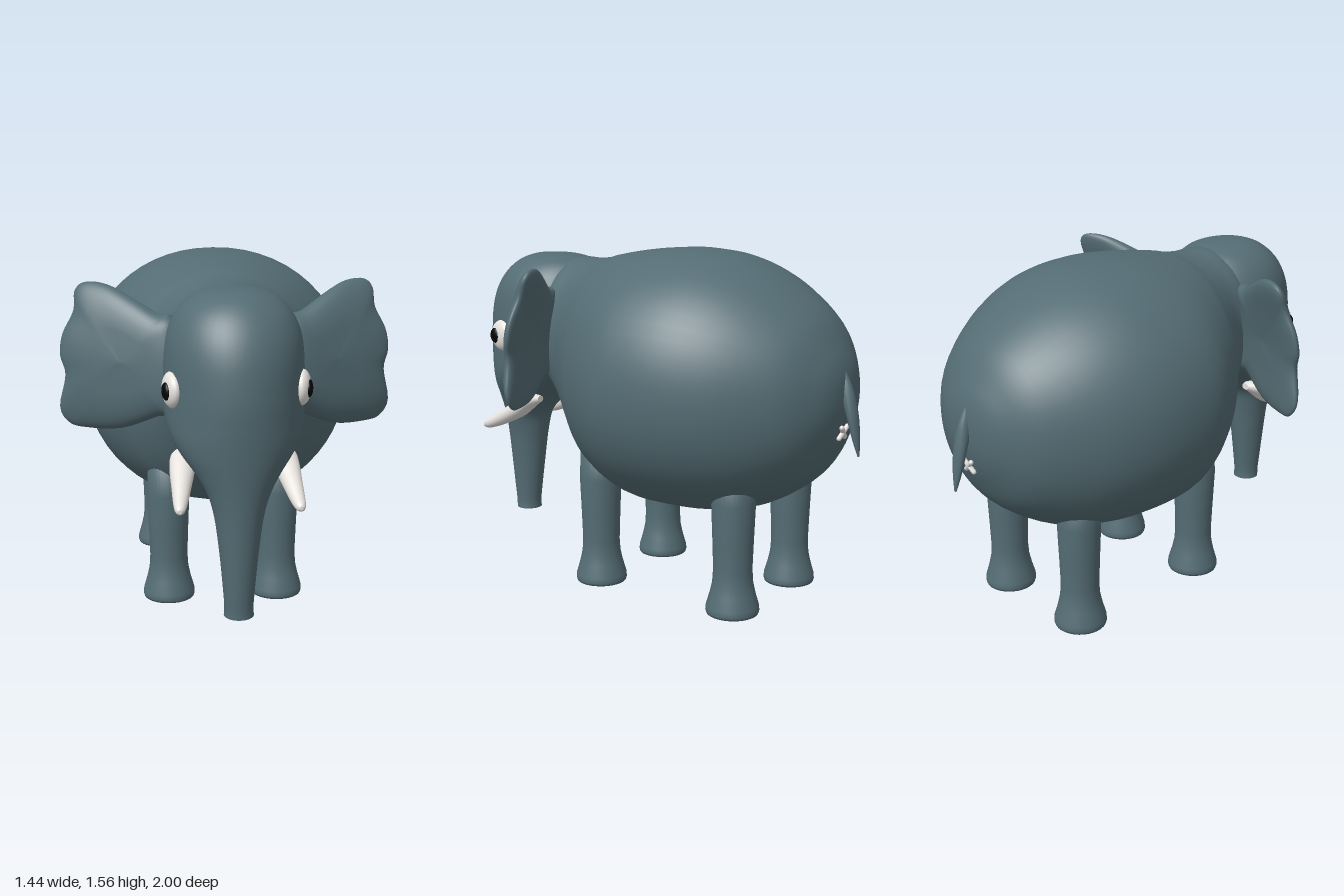
import * as THREE from 'three';

const hide = new THREE.MeshStandardMaterial({ name: 'greyHide', color: 0x546c74 });
const ivory = new THREE.MeshStandardMaterial({ name: 'ivory', color: 0xe6e2de });
const black = new THREE.MeshStandardMaterial({ name: 'black', color: 0x050505 });

// Skin a closed solid over rings of equal point count; both ends get flat caps.
function loft(rings) {
  const n = rings[0].length;
  const centre = (r) => {
    const c = r.reduce((s, p) => s.add(p), new THREE.Vector3()).divideScalar(n);
    return r.map(() => c);
  };
  const first = rings[0], last = rings[rings.length - 1];
  const strips = [[centre(first), first], rings, [last, centre(last)]];
  const pos = [], index = [];
  let volume = 0;
  for (const strip of strips) {
    const base = pos.length / 3;
    for (const r of strip) for (const p of r) pos.push(p.x, p.y, p.z);
    for (let i = 0; i < strip.length - 1; i++) {
      for (let j = 0; j < n; j++) {
        const k = (j + 1) % n;
        const a = base + i * n + j, b = base + i * n + k;
        index.push(a, b, a + n, b, b + n, a + n);
        const A = strip[i][j], B = strip[i][k], C = strip[i + 1][j], D = strip[i + 1][k];
        volume += A.dot(B.clone().cross(C)) + B.dot(D.clone().cross(C));
      }
    }
  }
  // Keep the faces turned outwards, also on mirrored parts
  if (volume < 0) {
    for (let i = 0; i < index.length; i += 3) {
      [index[i + 1], index[i + 2]] = [index[i + 2], index[i + 1]];
    }
  }
  const g = new THREE.BufferGeometry();
  g.setAttribute('position', new THREE.Float32BufferAttribute(pos, 3));
  g.setIndex(index);
  g.computeVertexNormals();
  return g;
}

// Rounded sections stacked along 'y' or 'z'; power below 1 makes them fuller than an ellipse.
// Row: [position on axis, one edge, opposite edge, half width, x of centre]
function sections(axis, rows, { side = 1, n = 40, power = 1 } = {}) {
  const spline = (f) => new THREE.CatmullRomCurve3(rows.map(f), false, 'catmullrom', 0.5);
  const edges = spline((r) => new THREE.Vector3(r[0], r[1], r[2]));
  const widths = spline((r) => new THREE.Vector3(r[3], r[4] || 0, 0));
  const full = (t) => Math.sign(t) * Math.abs(t) ** power;
  const count = (rows.length - 1) * 5;
  const rings = [];
  for (let i = 0; i <= count; i++) {
    const e = edges.getPoint(i / count), w = widths.getPoint(i / count);
    const ring = [];
    for (let j = 0; j < n; j++) {
      const a = (j / n) * Math.PI * 2;
      const x = side * (w.y + Math.max(w.x, 0) * full(Math.sin(a)));
      const v = (e.y + e.z) / 2 + (e.y - e.z) / 2 * full(Math.cos(a));
      ring.push(axis === 'y' ? new THREE.Vector3(x, e.x, v) : new THREE.Vector3(x, v, e.x));
    }
    rings.push(ring);
  }
  return loft(rings);
}

// Pillow-shaped ear: wavy outline, swept backwards and curling back at the top
function earGeometry(side) {
  const outline = [
    [0.23, 1.33], [0.305, 1.37], [0.44, 1.445], [0.525, 1.478], [0.605, 1.478], [0.645, 1.44],
    [0.652, 1.36], [0.7, 1.265], [0.713, 1.175], [0.692, 1.09], [0.72, 0.95], [0.685, 0.88],
    [0.615, 0.862], [0.46, 0.872], [0.305, 0.94], [0.23, 0.98],
  ].map(([x, y]) => new THREE.Vector3(x, y, 0));
  const rim = new THREE.CatmullRomCurve3(outline, true, 'catmullrom', 0.5).getPoints(64).slice(0, 64);
  const rings = [];
  for (let i = 0; i <= 24; i++) {
    const phi = (i / 24) * Math.PI;
    const s = Math.max(Math.sin(phi), 1e-5) ** 0.4;
    rings.push(rim.map((p) => {
      const x = 0.46 + (p.x - 0.46) * s, y = 1.17 + (p.y - 1.17) * s;
      const thick = THREE.MathUtils.mapLinear(x, 0.25, 0.72, 0.08, 0.035);
      const curl = 0.02 - 0.1 * ((y - 1.05) / 0.43) ** 2;
      return new THREE.Vector3(side * x, y, 0.51 - 0.42 * (x - 0.28) + curl + thick * Math.cos(phi));
    }));
  }
  return loft(rings);
}

export function createModel() {
  const model = new THREE.Group();
  model.name = 'elephant';
  const add = (name, geometry, material, x = 0, y = 0, z = 0) => {
    const m = new THREE.Mesh(geometry, material);
    m.name = name;
    m.position.set(x, y, z);
    model.add(m);
    return m;
  };

  // Barrel body narrowing into the neck
  add('body', sections('z', [
    [-0.935, 0.98, 0.96, 0.005], [-0.925, 1.08, 0.865, 0.11], [-0.885, 1.18, 0.745, 0.22],
    [-0.79, 1.32, 0.59, 0.36], [-0.6, 1.455, 0.46, 0.505], [-0.4, 1.535, 0.405, 0.59],
    [-0.2, 1.56, 0.39, 0.62], [0, 1.55, 0.4, 0.6], [0.2, 1.52, 0.46, 0.49],
    [0.3, 1.495, 0.53, 0.41], [0.4, 1.485, 0.64, 0.33], [0.5, 1.485, 0.78, 0.283],
    [0.6, 1.44, 0.87, 0.25],
  ], { n: 56, power: 0.95 }), hide);

  // Head flowing down into the trunk
  add('headAndTrunk', sections('y', [
    [1.5, 0.7, 0.64, 0.025], [1.492, 0.765, 0.54, 0.1], [1.465, 0.835, 0.45, 0.17],
    [1.41, 0.9, 0.4, 0.23], [1.33, 0.952, 0.35, 0.269], [1.23, 0.985, 0.31, 0.285],
    [1.1, 1.0, 0.27, 0.29], [1.0, 0.998, 0.3, 0.288], [0.92, 0.992, 0.41, 0.27],
    [0.85, 0.985, 0.54, 0.23], [0.78, 0.978, 0.65, 0.175], [0.7, 0.97, 0.73, 0.128],
    [0.6, 0.962, 0.755, 0.1], [0.45, 0.952, 0.775, 0.08], [0.3, 0.94, 0.795, 0.066],
    [0.22, 0.932, 0.805, 0.06], [0.18, 0.93, 0.805, 0.062],
  ], { n: 48 }), hide);

  add('tail', sections('y', [
    [1.08, -0.91, -0.925, 0.008], [1, -0.9, -0.962, 0.027], [0.9, -0.935, -0.985, 0.034],
    [0.8, -0.965, -0.997, 0.024], [0.72, -0.992, -1, 0.006],
  ], { n: 20 }), hide);

  // Small crossed mark under the tail
  for (const s of [-1, 1]) {
    const bar = add('rearMark', new THREE.CapsuleGeometry(0.011, 0.07, 4, 8), ivory, 0, 0.815, -0.921);
    bar.rotation.set(-0.25, 0, s * 0.8);
  }

  const legProfile = [
    [0, 0], [0.115, 0], [0.119, 0.012], [0.117, 0.035], [0.101, 0.09], [0.09, 0.14],
    [0.086, 0.2], [0.09, 0.32], [0.097, 0.5], [0.09, 0.66], [0, 0.68],
  ].map(([r, y]) => new THREE.Vector2(r, y));

  for (const side of [-1, 1]) {
    const label = side > 0 ? 'left' : 'right';
    add(label + 'Ear', earGeometry(side), hide);
    add(label + 'FrontLeg', new THREE.LatheGeometry(legProfile, 32), hide, side * 0.25, 0, 0.195);
    add(label + 'BackLeg', new THREE.LatheGeometry(legProfile, 32), hide, side * 0.25, 0, -0.535);

    add(label + 'Tusk', sections('z', [
      [0.6, 0.825, 0.795, 0.02, 0.2], [0.64, 0.83, 0.765, 0.05, 0.21], [0.7, 0.81, 0.715, 0.053, 0.217],
      [0.8, 0.75, 0.668, 0.04, 0.228], [0.88, 0.7, 0.64, 0.029, 0.237],
      [0.92, 0.676, 0.636, 0.02, 0.241], [0.934, 0.662, 0.645, 0.008, 0.242],
    ], { side, n: 20 }), ivory);

    // Eyes follow the slant of the cheek
    const eye = add(label + 'Eye', new THREE.SphereGeometry(1, 28, 18), ivory, side * 0.261, 1.113, 0.778);
    eye.scale.set(0.038, 0.074, 0.076);
    eye.rotation.y = side * -0.22;
    const pupil = add(label + 'Pupil', new THREE.SphereGeometry(1, 20, 14), black, side * 0.285, 1.113, 0.802);
    pupil.scale.set(0.017, 0.037, 0.036);
    pupil.rotation.y = side * -0.22;
  }
  return model;
}
